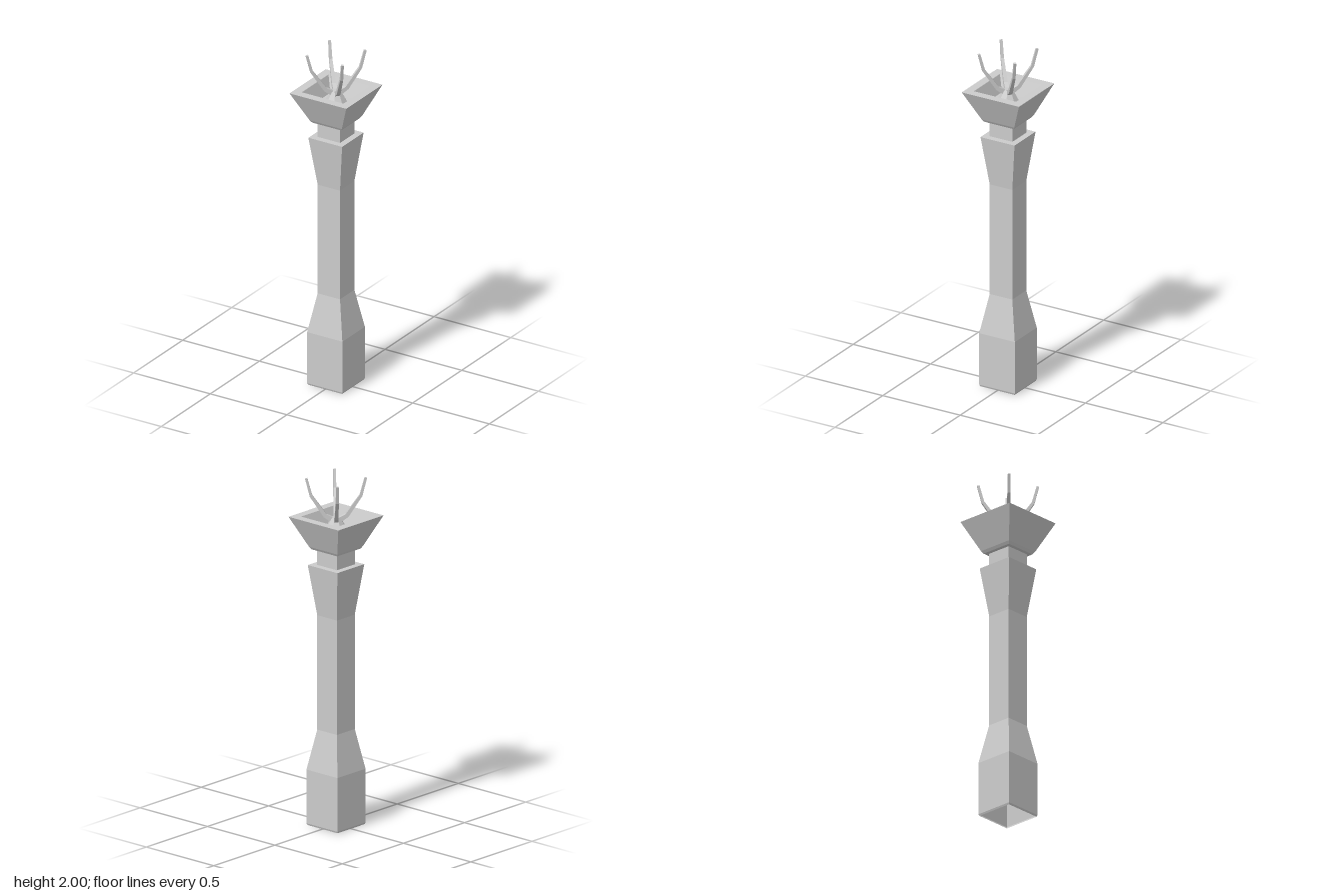
import * as THREE from 'three';

const material = new THREE.MeshStandardMaterial({
  color: 0xcccccc, flatShading: true, side: THREE.DoubleSide,
});

function add(group, geometry, name) {
  const mesh = new THREE.Mesh(geometry, material);
  mesh.name = name;
  group.add(mesh);
  return mesh;
}

// Square turned section: profile of [half width, height], from bottom to top
function squareLathe(profile) {
  const points = profile.map(([w, y]) => new THREE.Vector2(w * Math.SQRT2, y));
  return new THREE.LatheGeometry(points, 4, Math.PI / 4).toNonIndexed();
}

// Tapered bar in the x-y plane: sections of [x, y, thickness, width]
function taperedBar(sections) {
  const pos = [], index = [];
  sections.forEach(([x, y, t, w], i) => {
    const a = sections[Math.max(i - 1, 0)];
    const b = sections[Math.min(i + 1, sections.length - 1)];
    const dir = new THREE.Vector2(b[0] - a[0], b[1] - a[1]).normalize();
    const nx = dir.y * t / 2, ny = -dir.x * t / 2;
    pos.push(x + nx, y + ny, w / 2, x - nx, y - ny, w / 2);
    pos.push(x - nx, y - ny, -w / 2, x + nx, y + ny, -w / 2);
    if (i === 0) return;
    for (let k = 0; k < 4; k++) {
      const p = (i - 1) * 4 + k, q = (i - 1) * 4 + (k + 1) % 4;
      index.push(p, p + 4, q, q, p + 4, q + 4);
    }
  });
  // End caps
  const e = (sections.length - 1) * 4;
  index.push(0, 1, 2, 0, 2, 3, e, e + 2, e + 1, e, e + 3, e + 2);
  // Keep the faces pointing outward
  for (let i = 0; i < index.length - 12; i += 3) {
    [index[i + 1], index[i + 2]] = [index[i + 2], index[i + 1]];
  }
  for (let i = index.length - 12; i < index.length; i += 3) {
    [index[i + 1], index[i + 2]] = [index[i + 2], index[i + 1]];
  }
  const geometry = new THREE.BufferGeometry();
  geometry.setAttribute('position', new THREE.Float32BufferAttribute(pos, 3));
  geometry.setIndex(index);
  const flat = geometry.toNonIndexed();
  flat.computeVertexNormals();
  return flat;
}

export function createModel() {
  const model = new THREE.Group();
  model.name = 'brazierPost';

  // Post with flared foot and head, open underneath
  add(model, squareLathe([
    [0.111, 0], [0.115, 0.01], [0.115, 0.32], [0.073, 0.55],
    [0.073, 1.21], [0.11, 1.5], [0.073, 1.5],
  ]), 'post');

  // Neck between post and bowl
  add(model, squareLathe([[0.073, 1.5], [0.073, 1.59]]), 'neck');

  // Square bowl with chamfered underside, flat rim and sunken floor
  add(model, squareLathe([
    [0.073, 1.59], [0.095, 1.59], [0.105, 1.605], [0.185, 1.78],
    [0.136, 1.78], [0.103, 1.69], [0, 1.69],
  ]), 'bowl');

  // Eight-sided hub in the middle of the bowl
  const corner = 1 / Math.cos(Math.PI / 8);
  const hub = add(model, new THREE.CylinderGeometry(
    0.023 * corner, 0.066 * corner, 0.085, 8, 1, false, Math.PI / 8), 'hub');
  hub.position.y = 1.7325;

  // Four curved prongs on the diagonals
  const prong = taperedBar([
    [0.012, 1.755, 0.03, 0.026],
    [0.06, 1.785, 0.022, 0.022],
    [0.138, 1.9, 0.016, 0.017],
    [0.164, 2, 0.014, 0.014],
  ]);
  for (let i = 0; i < 4; i++) {
    add(model, prong, 'prong').rotation.y = Math.PI / 4 + i * Math.PI / 2;
  }
  return model;
}
